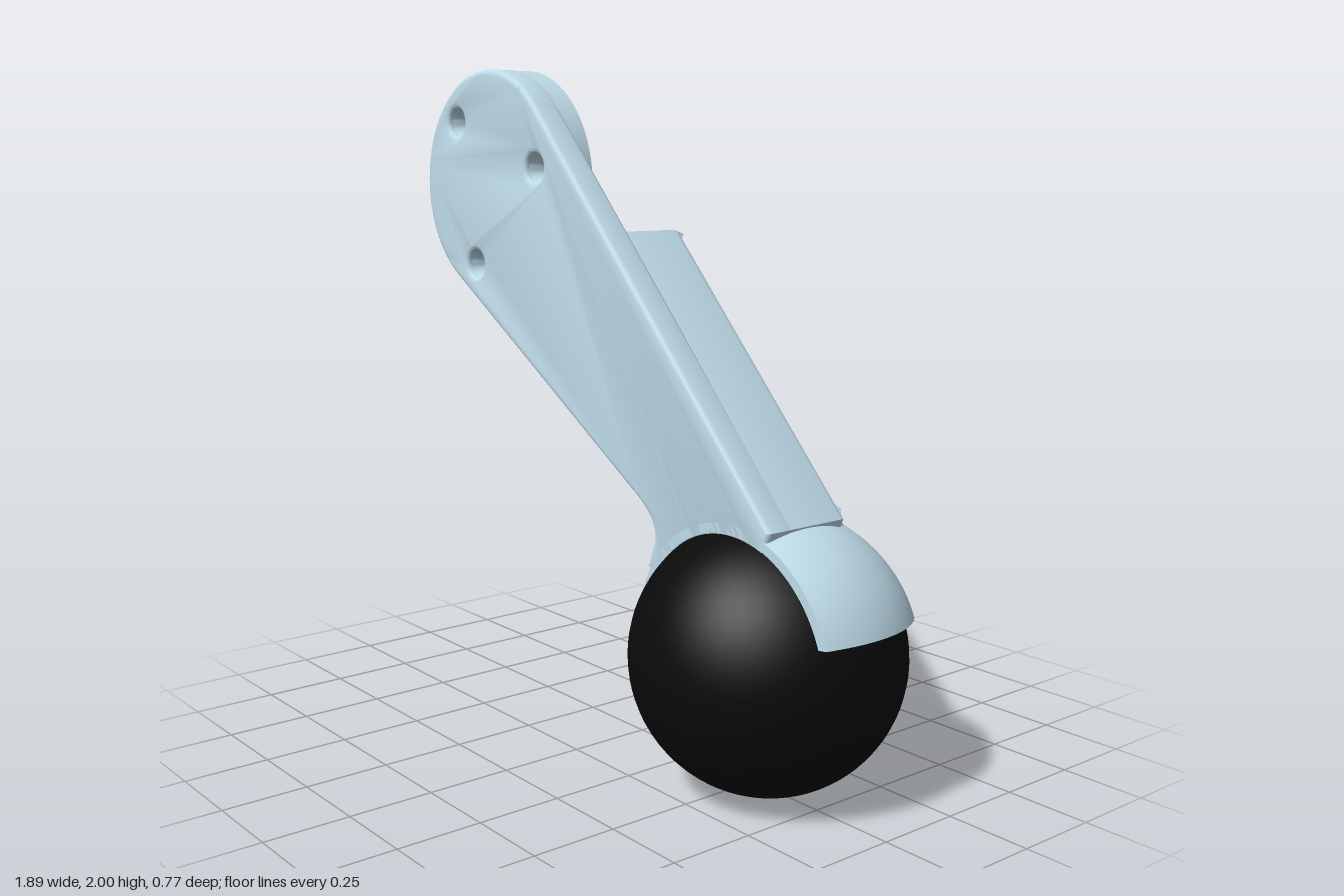
import * as THREE from 'three';
import { toCreasedNormals } from 'three/addons/utils/BufferGeometryUtils.js';

const HEAD = { x: -0.6, y: 1.65, r: 0.35 };
const BALL = { x: 0.55, y: 0.385, r: 0.385 };
const HOLES = [[-0.77, 1.84], [-0.34, 1.7], [-0.67, 1.395]];
const A0 = THREE.MathUtils.degToRad(42.8);   // tangent of the upper arm edge
const A1 = THREE.MathUtils.degToRad(238.2);  // tangent of the lower arm edge

// Arm outline: one arc about the head, both edges, and a hollow over the ball
function armShape(radius, start, end, clockwise) {
  const s = new THREE.Shape();
  s.absarc(HEAD.x, HEAD.y, radius, start, end, clockwise);
  s.lineTo(0.13, 0.792);
  s.bezierCurveTo(0.21, 0.745, 0.25, 0.7, 0.222, 0.645);
  s.lineTo(0.2, 0.585);
  s.absarc(BALL.x, BALL.y, 0.347, 2.62, 1.2, true);
  s.lineTo(0.7, 0.775);
  s.closePath();
  return s;
}

function addHoles(shape, radius) {
  for (const [x, y] of HOLES) {
    const hole = new THREE.Path();
    hole.absarc(x, y, radius, 0, Math.PI * 2, true);
    shape.holes.push(hole);
  }
  return shape;
}

// Extrude from z0 to z1 with the bevel cut inward
function slab(shape, z0, z1, bevel) {
  const geo = new THREE.ExtrudeGeometry(shape, {
    depth: z1 - z0 - 2 * bevel, curveSegments: 40,
    bevelEnabled: bevel > 0, bevelSize: bevel, bevelThickness: bevel,
    bevelOffset: -bevel, bevelSegments: 3,
  });
  geo.translate(0, 0, z0 + bevel);
  return toCreasedNormals(geo, 0.6);
}

// Sweep a closed [r, z] profile about the ball's z axis; range(r) gives both end angles.
// The second half of the profile mirrors the first, so the ends can be capped.
function sweep(profile, range, steps) {
  const pos = [], idx = [], n = profile.length;
  for (let j = 0; j <= steps; j++) {
    for (const [r, z] of profile) {
      const [a, b] = range(r);
      const t = a + (b - a) * j / steps;
      pos.push(BALL.x + r * Math.cos(t), BALL.y + r * Math.sin(t), z);
    }
  }
  const quad = (a, b, c, d) => idx.push(a, b, c, a, c, d);
  for (let j = 0; j < steps; j++) {
    for (let i = 0; i < n; i++) {
      const k = (i + 1) % n;
      quad(j * n + i, j * n + k, (j + 1) * n + k, (j + 1) * n + i);
    }
  }
  const e = steps * n;
  for (let i = 0; i < n / 2 - 1; i++) {
    quad(i, n - 1 - i, n - 2 - i, i + 1);
    quad(e + i, e + i + 1, e + n - 2 - i, e + n - 1 - i);
  }
  const geo = new THREE.BufferGeometry();
  geo.setAttribute('position', new THREE.Float32BufferAttribute(pos, 3));
  geo.setIndex(idx);
  return toCreasedNormals(geo, 0.6);
}

// Spherical cover between two flat faces, trimmed below by a sloping plane
function coverGeometry() {
  const outer = [], inner = [], count = 20;
  for (let i = 0; i <= count; i++) {
    const z = 0.145 - 0.445 * i / count;
    outer.push([Math.sqrt(0.413 ** 2 - z * z), z]);
    inner.unshift([Math.sqrt(0.388 ** 2 - z * z), z]);
  }
  const slope = 0.125, tilt = Math.atan(slope);
  return sweep([...outer, ...inner], (r) => {
    const a = Math.asin(0.085 * Math.cos(tilt) / r);
    return [a + tilt, Math.PI - a + tilt];
  }, 64);
}

// Concave blend from the arm's back face into the cover
function blendGeometry() {
  const f = 0.07, cr = 0.4325, cz = -0.215, outer = [], inner = [];
  const last = Math.atan2(-cz, -cr);
  for (let i = 0; i <= 8; i++) {
    const t = Math.PI / 2 + (last - Math.PI / 2) * i / 8;
    const z = cz + f * Math.sin(t);
    outer.push([cr + f * Math.cos(t), z]);
    inner.unshift([0.33, z]);
  }
  return sweep([...outer, ...inner], () => [1.27, 2.46], 32);
}

export function createModel() {
  const group = new THREE.Group();
  const body = new THREE.MeshStandardMaterial({ color: 0xbfdcea });
  const liner = new THREE.MeshStandardMaterial({ color: 0xbfdcea, side: THREE.DoubleSide });
  const black = new THREE.MeshStandardMaterial({ color: 0x0a0a0a });
  const add = (name, geo, mat = body) => {
    const mesh = new THREE.Mesh(geo, mat);
    mesh.name = name;
    group.add(mesh);
    return mesh;
  };

  // Front plate, running the whole length of the arm
  add('armPlate', slab(addHoles(armShape(HEAD.r, A0, A1, false), 0.045), 0.05, 0.145, 0.015));

  // Round mounting pad behind the head
  const pad = new THREE.Shape();
  pad.absarc(HEAD.x, HEAD.y, HEAD.r - 0.001, 0, Math.PI * 2, false);
  add('mountingPad', slab(addHoles(pad, 0.033), -0.01, 0.08, 0));

  // Thick rear of the arm, ending in a concave arc around the pad
  const R = 0.61, spread = Math.acos(HEAD.r / R);
  add('armBlock', slab(armShape(R, A0 - spread, A1 + spread - Math.PI * 2, true), -0.145, 0.125, 0.022));

  // Countersunk screw hole walls
  const wall = [[0.033, -0.01], [0.033, 0.09], [0.046, 0.131]].map(([r, y]) => new THREE.Vector2(r, y));
  for (const [x, y] of HOLES) {
    const geo = toCreasedNormals(new THREE.LatheGeometry(wall, 32).rotateX(Math.PI / 2), 0.4);
    add('screwHole', geo, liner).position.set(x, y, 0);
  }

  // Ball, its cover and the blend to the arm
  add('ballCover', coverGeometry());
  add('coverBlend', blendGeometry());
  add('ball', new THREE.SphereGeometry(BALL.r, 64, 40), black).position.set(BALL.x, BALL.y, 0);

  return group;
}
